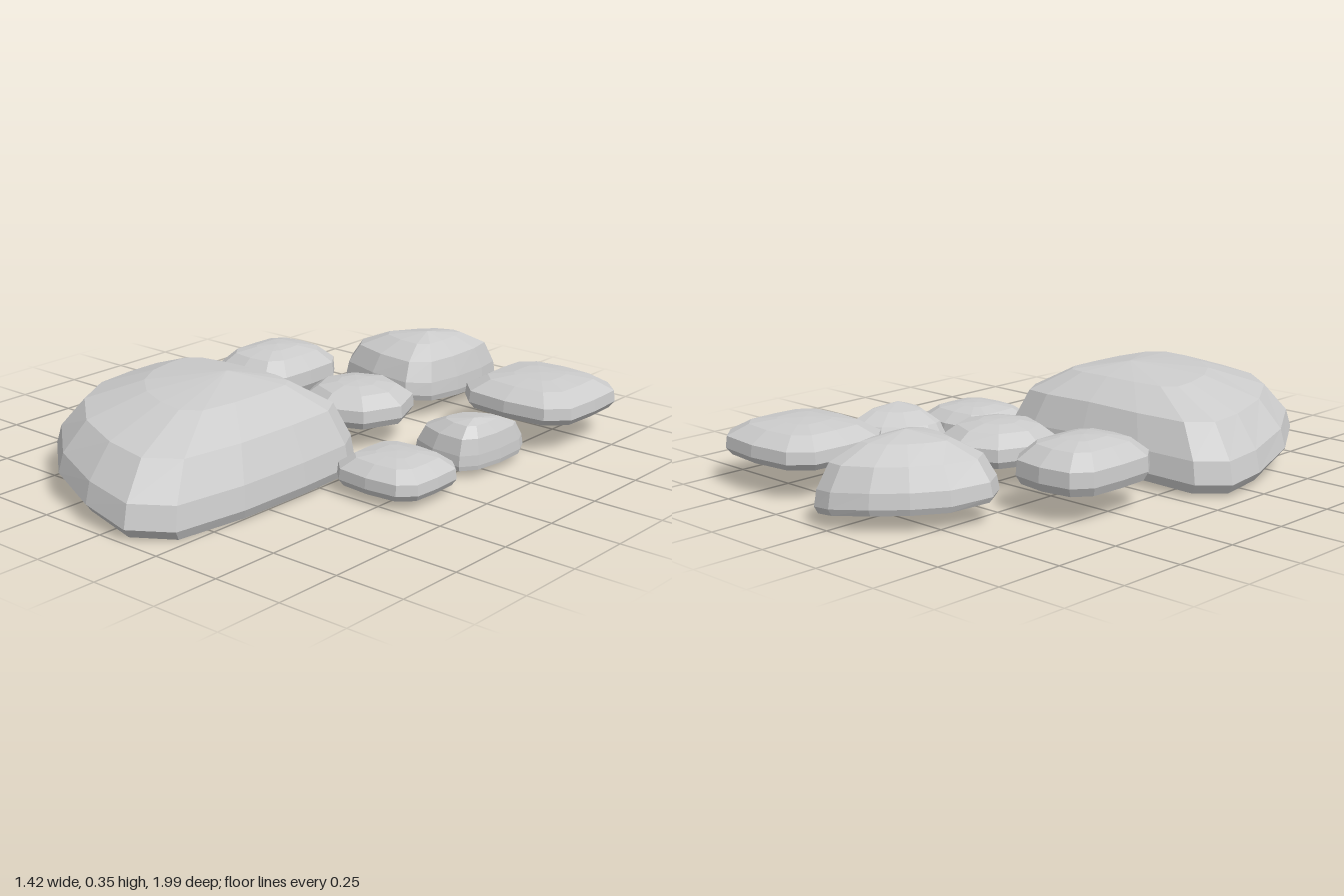
import * as THREE from 'three';

// Profiles run from the underside centre to the peak: [outline scale, height fraction]
const DOME = [[0, 0], [0.96, 0], [1, 0.1], [0.97, 0.33], [0.83, 0.67], [0.48, 0.9], [0, 1]];
const PILLOW = [[0, 0], [0.92, 0], [1, 0.2], [0.98, 0.54], [0.7, 0.86], [0.35, 0.97], [0, 1]];

// Faceted stone: rings of an outline [x, z, baseY?] shrinking towards a peak [x, y, z]
function stone(name, outline, peak, baseY, profile, material) {
  const n = outline.length;
  const base = (p) => p[2] ?? baseY;
  const meanBase = outline.reduce((sum, p) => sum + base(p), 0) / n;
  const positions = [];
  for (const [s, t] of profile) {
    for (const p of outline) {
      const b = s === 0 ? meanBase : base(p);
      positions.push(
        peak[0] + (p[0] - peak[0]) * s,
        b + (peak[1] - b) * t,
        peak[2] + (p[1] - peak[2]) * s
      );
    }
  }
  const index = [];
  for (let k = 0; k < profile.length - 1; k++) {
    for (let i = 0; i < n; i++) {
      const j = (i + 1) % n;
      const a = k * n + j, b = k * n + i, c = b + n, d = a + n;
      if (profile[k][0] > 0) index.push(a, b, c);
      if (profile[k + 1][0] > 0) index.push(a, c, d);
    }
  }
  const geometry = new THREE.BufferGeometry();
  geometry.setAttribute('position', new THREE.Float32BufferAttribute(positions, 3));
  geometry.setIndex(index);
  geometry.computeVertexNormals();
  const mesh = new THREE.Mesh(geometry, material);
  mesh.name = name;
  return mesh;
}

// Rounded-square outline, clockwise from above
function squarish(x, z, rx, rz) {
  const unit = [
    [1, 0], [0.97, 0.62], [0.68, 0.93], [0, 1], [-0.68, 0.93], [-0.97, 0.62],
    [-1, 0], [-0.97, -0.62], [-0.68, -0.92], [0, -1], [0.68, -0.92], [0.97, -0.62]
  ];
  return unit.map(([u, v]) => [x + u * rx, z + v * rz]);
}

// Regular octagon outline
function octagon(x, z, r) {
  return Array.from({ length: 8 }, (_, i) => {
    const a = (i * Math.PI) / 4;
    return [x + Math.cos(a) * r, z + Math.sin(a) * r];
  });
}

export function createModel() {
  const group = new THREE.Group();
  group.name = 'steppingStones';
  const material = new THREE.MeshStandardMaterial({ color: 0xcccccc, flatShading: true });

  // Large stone with a wavy lower edge
  const large = [
    [-0.71, 0.13, 0.015], [-0.62, 0.045, 0.015], [-0.4, 0.015, 0.03], [-0.15, 0.005, 0.045],
    [0.09, 0.005, 0.03], [0.22, 0.035, 0.015], [0.275, 0.13, 0.015], [0.28, 0.35, 0.012],
    [0.27, 0.63, 0.008], [0.225, 0.89, 0.002], [0.1, 0.99, 0.008], [-0.1, 0.965, 0.035],
    [-0.33, 0.875, 0.06], [-0.52, 0.715, 0.08], [-0.645, 0.51, 0.06], [-0.7, 0.29, 0.025]
  ];
  // Tapered stone at the back
  const tapered = [
    [-0.35, -0.62, 0.08], [-0.29, -0.74], [-0.22, -0.85], [-0.13, -0.94], [-0.01, -1, 0.05],
    [0.07, -0.99, 0.04], [0.1, -0.87, 0.05], [0.11, -0.7], [0.1, -0.55, 0.07],
    [0.03, -0.48, 0.075], [-0.14, -0.49, 0.08], [-0.3, -0.54, 0.08]
  ];
  // Small wedge on the left side
  const wedge = [
    [0.31, -0.25], [0.34, -0.34], [0.42, -0.41], [0.51, -0.45], [0.575, -0.45], [0.6, -0.4],
    [0.605, -0.28], [0.59, -0.17], [0.55, -0.115], [0.43, -0.12], [0.33, -0.16], [0.31, -0.2]
  ];

  group.add(
    stone('largeStone', large, [-0.11, 0.35, 0.31], 0.02, DOME, material),
    stone('taperedStone', tapered, [-0.04, 0.28, -0.7], 0.06, DOME, material),
    stone('wedgeStone', wedge, [0.53, 0.19, -0.22], 0.03, DOME, material),
    stone('backLeftStone', squarish(0.475, -0.695, 0.235, 0.225), [0.475, 0.228, -0.69], 0.108, PILLOW, material),
    stone('frontLeftStone', squarish(0.455, 0.1, 0.175, 0.165), [0.455, 0.142, 0.1], 0.033, PILLOW, material),
    stone('rightStone', squarish(-0.42, -0.28, 0.17, 0.21), [-0.42, 0.25, -0.28], 0.1, PILLOW, material),
    stone('centreStone', octagon(0.015, -0.23, 0.2), [0.015, 0.215, -0.22], 0.09, PILLOW, material)
  );
  return group;
}
